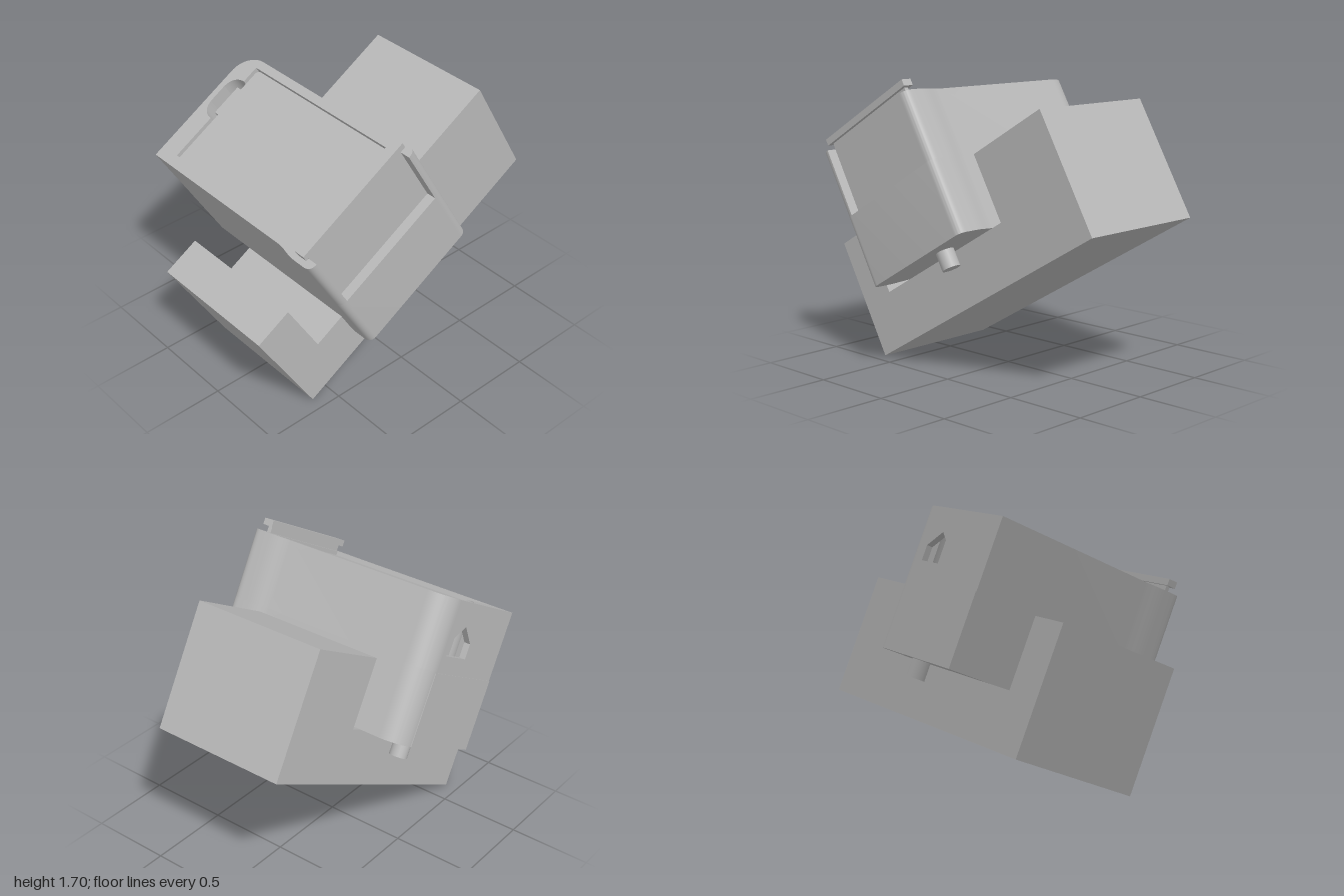
import * as THREE from 'three';
import { toCreasedNormals } from 'three/addons/utils/BufferGeometryUtils.js';

// Local frame: x across, u runs from front to back (-z), v is up; the whole group is tilted 30 degrees.
const grey = new THREE.MeshStandardMaterial({ color: 0xb8b8b8 });
grey.name = 'grey plastic';

export function createModel() {
  const model = new THREE.Group();
  const tilted = new THREE.Group();
  tilted.name = 'tiltedAssembly';
  tilted.rotation.x = Math.PI / 6;
  tilted.position.z = 0.63;
  model.add(tilted);

  const add = (name, geo) => {
    const mesh = new THREE.Mesh(geo, grey);
    mesh.name = name;
    tilted.add(mesh);
    return mesh;
  };
  // Box given by its ranges in x, u and v
  const box = (name, x0, x1, u0, u1, v0, v1) => {
    const geo = new THREE.BoxGeometry(x1 - x0, v1 - v0, u1 - u0);
    geo.translate((x0 + x1) / 2, (v0 + v1) / 2, -(u0 + u1) / 2);
    return add(name, geo);
  };
  // Plan outline in (x, u) raised from v0 to v1
  const raise = (name, shape, v0, v1) => {
    const geo = new THREE.ExtrudeGeometry(shape, { depth: v1 - v0, bevelEnabled: false, curveSegments: 10 });
    geo.rotateX(-Math.PI / 2).translate(0, v0, 0);
    return add(name, toCreasedNormals(geo, 0.6));
  };
  // Side profile of [u, v] points extruded from x0 to x1
  const side = (name, points, x0, x1, hole) => {
    const vec = (p) => new THREE.Vector2(-p[0], p[1]);
    const shape = new THREE.Shape(points.map(vec));
    if (hole) shape.holes.push(new THREE.Path(hole.map(vec)));
    const geo = new THREE.ExtrudeGeometry(shape, { depth: x1 - x0, bevelEnabled: false });
    geo.rotateY(-Math.PI / 2).translate(x1, 0, 0);
    return add(name, geo);
  };

  // Cradle with a slot that holds the case
  side('cradle', [[0, 0], [1.882, 0], [1.882, 0.739], [1.316, 0.739], [1.316, 0.325],
    [0.24, 0.325], [0.24, 0.739], [0, 0.739]], -0.42, 0.42);

  // Front edge with the flared right end, then back edge with the large corner
  const frontEdge = (s, x) => {
    s.moveTo(x, 0.447);
    s.lineTo(0.42, 0.447);
    s.bezierCurveTo(0.48, 0.44, 0.5, 0.427, 0.56, 0.425);
    s.lineTo(0.63, 0.425);
    s.quadraticCurveTo(0.685, 0.425, 0.685, 0.474);
  };
  const backEdge = (s) => {
    s.lineTo(0.685, 1.212);
    s.quadraticCurveTo(0.685, 1.262, 0.63, 1.262);
    s.lineTo(0.56, 1.262);
    s.bezierCurveTo(0.5, 1.26, 0.48, 1.247, 0.42, 1.24);
    s.lineTo(-0.543, 1.24);
    s.absarc(-0.543, 1.1, 0.14, Math.PI / 2, Math.PI, false);
  };

  // Solid lower half of the case
  const lower = new THREE.Shape();
  frontEdge(lower, -0.683);
  backEdge(lower);
  lower.closePath();
  raise('lowerCase', lower, 0.326, 0.764);
  box('lowerEndPanel', -0.687, -0.68, 0.447, 1.11, 0.326, 0.757);

  // Upper walls: door opening at one end, tray pocket and finger notch inside
  const L = -0.645;
  const upper = new THREE.Shape();
  frontEdge(upper, L);
  upper.lineTo(0.685, 0.476);
  upper.lineTo(0.6, 0.476);
  upper.lineTo(0.6, 1.208);
  upper.lineTo(0.685, 1.208);
  backEdge(upper);
  upper.lineTo(L, 1.1);
  upper.lineTo(L, 1.0);
  upper.quadraticCurveTo(L + 0.01, 1.08, -0.555, 1.083);
  upper.lineTo(-0.555, 1.189);
  upper.lineTo(0.57, 1.189);
  upper.lineTo(0.57, 0.514);
  upper.lineTo(-0.555, 0.514);
  upper.lineTo(-0.555, 0.8);
  upper.quadraticCurveTo(L + 0.01, 0.803, L, 0.884);
  upper.closePath();
  raise('upperCase', upper, 0.764, 1.18);

  // End wall with a house-shaped hole into the notch
  side('endWall', [[0.447, 0.764], [1.1, 0.764], [1.1, 1.18], [0.447, 1.18]], -0.683, L,
    [[0.83, 0.86], [0.83, 0.95], [0.942, 1.04], [1.055, 0.95], [1.055, 0.86]]);

  // Tray sitting in the pocket, rounded at the door end, with a finger tab
  const tray = new THREE.Shape();
  tray.moveTo(-0.553, 0.516);
  tray.lineTo(0.5, 0.516);
  tray.quadraticCurveTo(0.566, 0.516, 0.566, 0.58);
  tray.lineTo(0.566, 1.123);
  tray.quadraticCurveTo(0.566, 1.187, 0.5, 1.187);
  tray.lineTo(-0.523, 1.187);
  tray.quadraticCurveTo(-0.553, 1.187, -0.553, 1.157);
  tray.closePath();
  raise('tray', tray, 0.764, 1.156);
  box('trayTab', -0.585, -0.55, 0.845, 1.04, 0.764, 1.155);

  // Sliding door and its overhanging cap
  box('slidingDoor', 0.601, 0.627, 0.477, 1.207, 0.765, 1.218);
  box('doorCap', 0.585, 0.65, 0.454, 1.234, 1.217, 1.256);

  // Pins under both ends of the case
  for (const x of [-0.535, 0.535]) {
    const pin = new THREE.CylinderGeometry(0.053, 0.053, 0.11, 24);
    add('pin', pin.translate(x, 0.275, -0.942));
  }
  return model;
}
